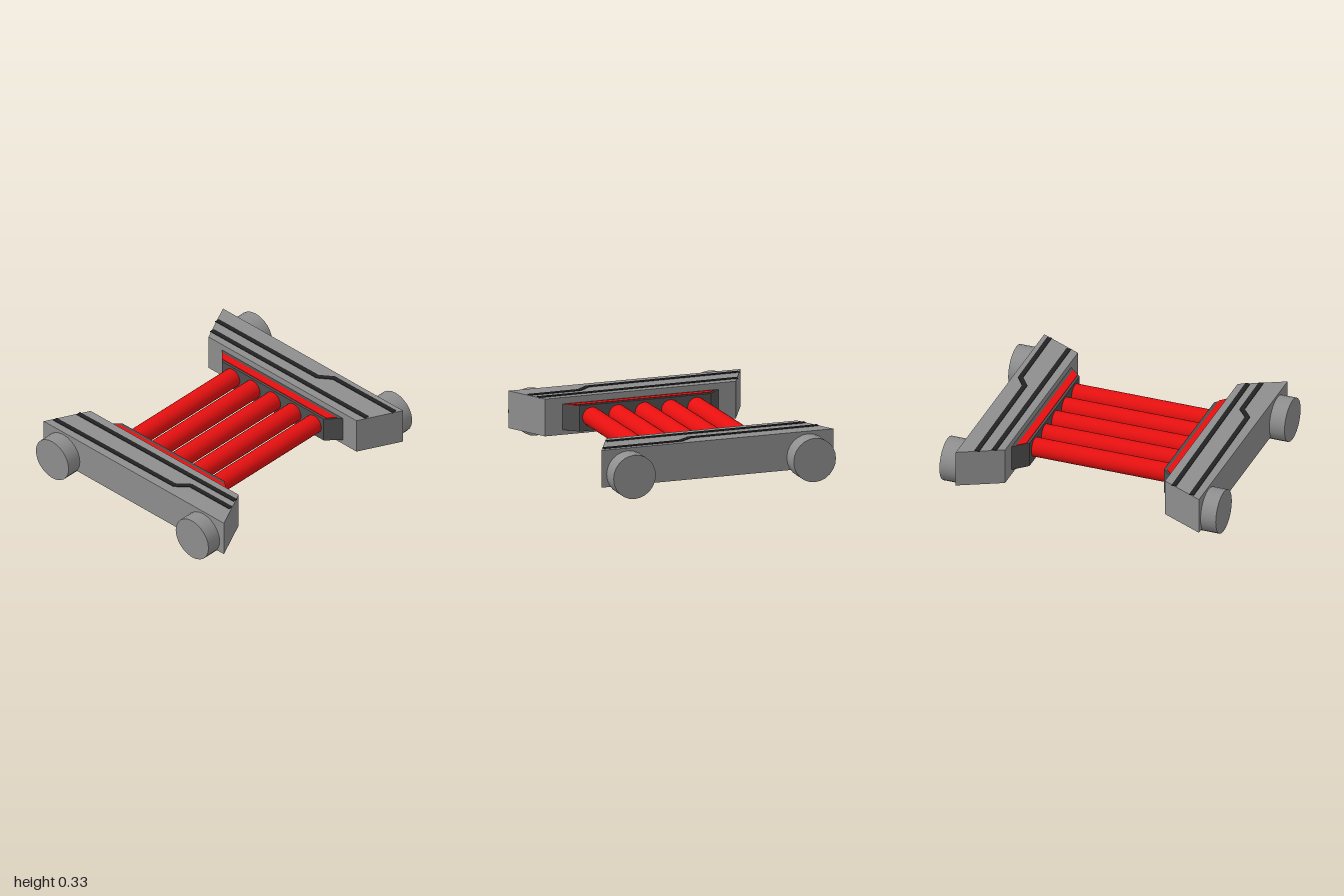
import * as THREE from 'three';

const material = (name, color) => {
  const m = new THREE.MeshStandardMaterial({ color });
  m.name = name;
  return m;
};

// Upright prism from a plan outline of [x, z] points, between heights y0 and y1.
function prism(name, outline, y0, y1, mat) {
  const shape = new THREE.Shape(outline.map(([x, z]) => new THREE.Vector2(x, -z)));
  const geometry = new THREE.ExtrudeGeometry(shape, { depth: y1 - y0, bevelEnabled: false });
  geometry.rotateX(-Math.PI / 2).translate(0, y0, 0);
  const mesh = new THREE.Mesh(geometry, mat);
  mesh.name = name;
  return mesh;
}

// Plan outline of a constant-width band along a path, mitred at its bends.
function band(path, width) {
  const normal = (a, b) => new THREE.Vector2(a[1] - b[1], b[0] - a[0]).normalize();
  const sides = [[], []];
  path.forEach((p, i) => {
    const before = normal(path[Math.max(i - 1, 0)], path[Math.max(i, 1)]);
    const last = path.length - 1;
    const after = normal(path[Math.min(i, last - 1)], path[Math.min(i + 1, last)]);
    const n = before.clone().add(after).normalize();
    n.multiplyScalar(width / 2 / n.dot(before));
    sides[0].push([p[0] + n.x, p[1] + n.y]);
    sides[1].unshift([p[0] - n.x, p[1] - n.y]);
  });
  return [...sides[0], ...sides[1]];
}

// Cylinder lying along z, between z0 and z1.
function rod(name, x, y, radius, z0, z1, mat) {
  const geometry = new THREE.CylinderGeometry(radius, radius, Math.abs(z1 - z0), 24);
  geometry.rotateX(Math.PI / 2).translate(x, y, (z0 + z1) / 2);
  const mesh = new THREE.Mesh(geometry, mat);
  mesh.name = name;
  return mesh;
}

export function createModel() {
  const grey = material('mid grey', 0x8f8f8f);
  const dark = material('dark grey', 0x505050);
  const red = material('red', 0xe81010);
  const black = material('near black', 0x222222);
  const model = new THREE.Group();
  model.name = 'railFrame';

  const ends = [
    {
      name: 'front', sign: 1, inner: 0.498, join: 0.587, outer: 0.89,
      panel: [[-0.48, 0.523], [0.505, 0.523], [0.552, 0.568], [-0.527, 0.568]],
      stripes: [
        [[-0.73, 0.667], [0.717, 0.65]],
        [[-0.8, 0.822], [0.3, 0.807], [0.385, 0.735], [0.754, 0.732]],
      ],
    },
    {
      name: 'back', sign: -1, inner: -0.475, join: -0.57, outer: -0.87,
      panel: [[-0.49, -0.492], [0.482, -0.492], [0.53, -0.546], [-0.54, -0.546]],
      stripes: [
        [[-0.722, -0.638], [0.717, -0.645]],
        [[-0.775, -0.743], [0.155, -0.75], [0.247, -0.815], [0.807, -0.82]],
      ],
    },
  ];

  for (const e of ends) {
    const end = new THREE.Group();
    end.name = e.name + 'End';
    const trapezoid = (a, za, b, zb) => [[-a, za], [a, za], [b, zb], [-b, zb]];

    // Tapered main beam and the narrower bracket that holds the rods
    end.add(prism('beam', trapezoid(0.69, e.join, 0.84, e.outer), 0.065, 0.325, grey));
    end.add(prism('bracket', trapezoid(0.475, e.inner, 0.565, e.join), 0.1, 0.28, dark));

    // Painted panel and stripes
    end.add(prism('bracketPanel', e.panel, 0.278, 0.284, red));
    for (const path of e.stripes) {
      end.add(prism('beamStripe', band(path, 0.034), 0.322, 0.329, black));
    }

    // Round feet on the outer face
    for (const x of [-0.656, 0.648]) {
      end.add(rod('foot', x, 0.153, 0.153, e.sign * 0.868, e.sign, grey));
    }
    model.add(end);
  }

  // Five rods joining the two ends
  for (let i = 0; i < 5; i++) {
    model.add(rod('connectingRod', -0.374 + i * 0.19, 0.196, 0.067, -0.48, 0.503, red));
  }
  return model;
}
